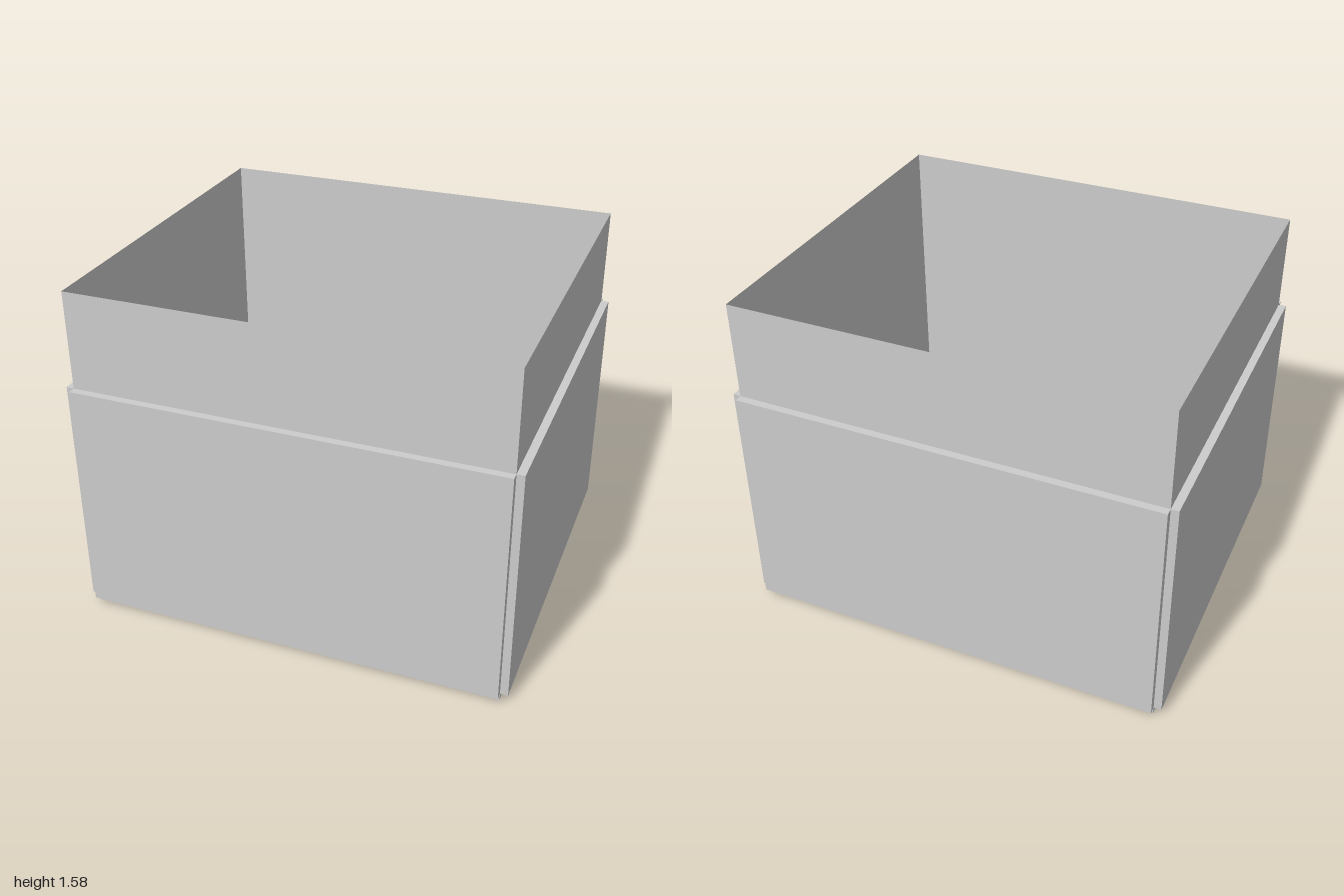
import * as THREE from 'three';

const grey = new THREE.MeshStandardMaterial({ color: 0xcccccc, side: THREE.DoubleSide });
grey.name = 'light grey';

const W = 1.93, D = 1.70, H = 1.575;    // thin open shell
const T = 0.035, LOW = 0.035, TOP = 1.125; // cladding panels

function add(parent, name, geometry, x, y, z) {
  const mesh = new THREE.Mesh(geometry, grey);
  mesh.name = name;
  mesh.position.set(x, y, z);
  parent.add(mesh);
  return mesh;
}

// Limb between two points, tapering from r0 to r1
function limb(parent, name, from, to, r0, r1) {
  const a = new THREE.Vector3(...from), b = new THREE.Vector3(...to);
  const dir = b.clone().sub(a);
  const mid = a.clone().add(b).multiplyScalar(0.5);
  const mesh = add(parent, name, new THREE.CylinderGeometry(r1, r0, dir.length(), 10), mid.x, mid.y, mid.z);
  mesh.quaternion.setFromUnitVectors(new THREE.Vector3(0, 1, 0), dir.normalize());
}

// Small standing person, feet at y = 0
function createFigure() {
  const g = new THREE.Group();
  g.name = 'standingFigure';
  const profile = [[0, 0.19], [0.032, 0.195], [0.036, 0.22], [0.030, 0.27], [0.040, 0.33], [0.036, 0.352], [0.012, 0.365], [0.011, 0.385]];
  const torso = add(g, 'torso', new THREE.LatheGeometry(profile.map(p => new THREE.Vector2(...p)), 16), 0, 0, 0);
  torso.scale.z = 0.65;
  const head = add(g, 'head', new THREE.SphereGeometry(0.025, 14, 10), 0, 0.405, 0.004);
  head.scale.y = 1.2;
  for (const s of [-1, 1]) {
    limb(g, 'leg', [s * 0.018, 0.21, 0], [s * 0.022, 0.01, 0], 0.019, 0.010);
    add(g, 'foot', new THREE.BoxGeometry(0.018, 0.014, 0.045), s * 0.022, 0.007, 0.008);
  }
  limb(g, 'leftArm', [0.040, 0.342, 0], [0.046, 0.19, 0.008], 0.012, 0.008);
  // right arm held out to the side
  limb(g, 'rightUpperArm', [-0.036, 0.342, 0], [-0.062, 0.27, -0.015], 0.012, 0.010);
  limb(g, 'rightForearm', [-0.062, 0.27, -0.015], [-0.098, 0.24, -0.030], 0.010, 0.008);
  return g;
}

export function createModel() {
  const model = new THREE.Group();
  model.name = 'openBox';

  // Open-topped shell: a box without its top face
  const shell = new THREE.BoxGeometry(W, H, D);
  const index = Array.from(shell.index.array);
  index.splice(12, 6);
  shell.setIndex(index);
  shell.clearGroups();
  add(model, 'shell', shell, 0, H / 2, 0);

  // Raised panels on the four sides, leaving notched corners
  const h = TOP - LOW, y = (TOP + LOW) / 2;
  for (const s of [-1, 1]) {
    add(model, s > 0 ? 'frontPanel' : 'backPanel', new THREE.BoxGeometry(W, h, T), 0, y, s * (D + T) / 2);
    add(model, s > 0 ? 'leftPanel' : 'rightPanel', new THREE.BoxGeometry(T, h, D), s * (W + T) / 2, y, 0);
  }

  const figure = createFigure();
  figure.position.set(0.735, 0, 0.06);
  model.add(figure);
  return model;
}
